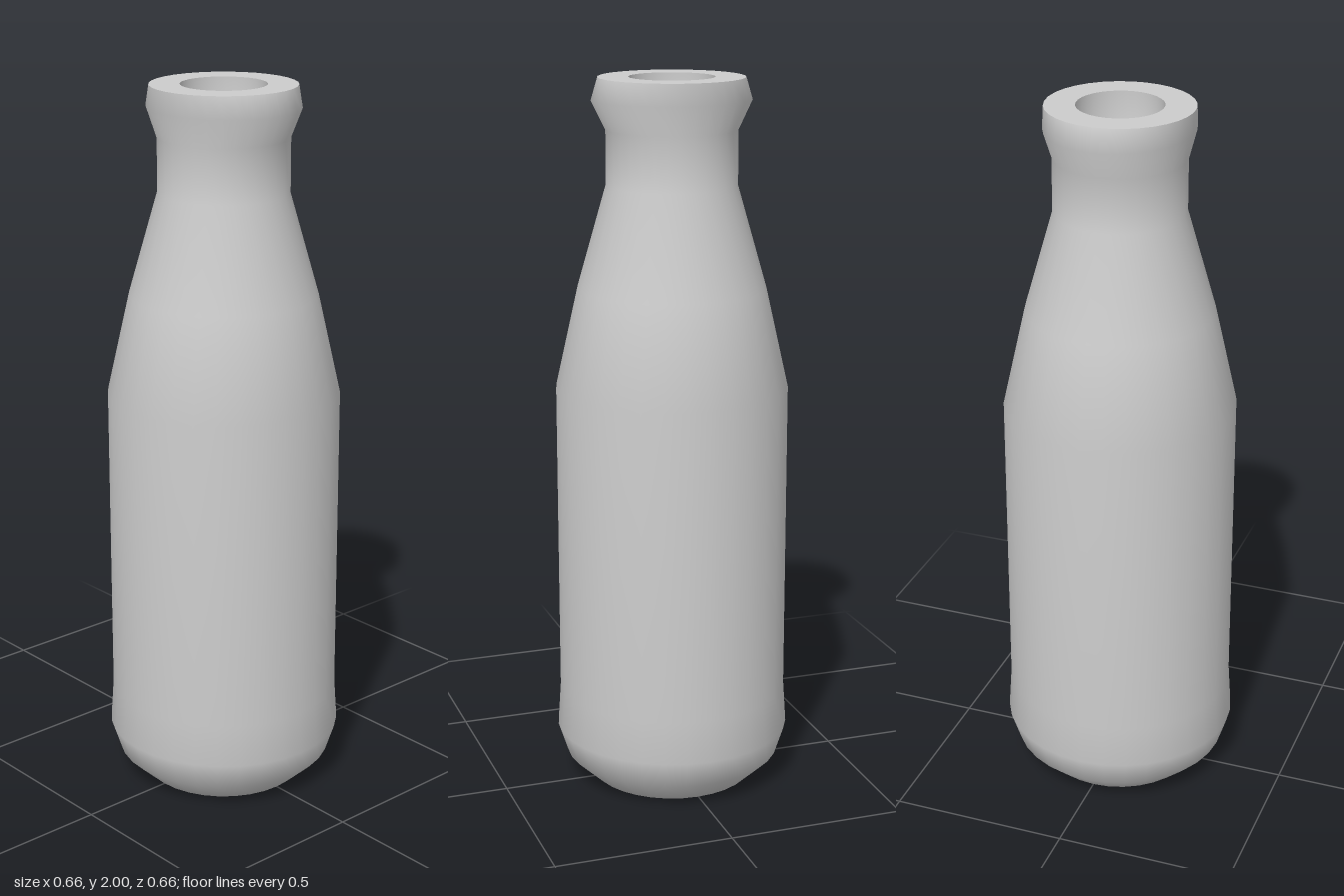
import * as THREE from 'three';
import { mergeVertices } from 'three/addons/utils/BufferGeometryUtils.js';

const SEGMENTS = 32;
const LIP_Y = 1.94;

// Revolves [radius, y] pairs and smooths the normals across the seam
function revolve(name, profile, material) {
  let geo = new THREE.LatheGeometry(profile.map(([r, y]) => new THREE.Vector2(r, y)), SEGMENTS);
  geo.deleteAttribute('uv');
  geo.deleteAttribute('normal');

  // The lip ring bulges towards front and back only
  const pos = geo.attributes.position;
  for (let i = 0; i < pos.count; i++) {
    if (Math.abs(pos.getY(i) - LIP_Y) < 1e-4) pos.setZ(i, pos.getZ(i) * 1.1);
  }
  geo = mergeVertices(geo, 1e-4);
  geo.computeVertexNormals();
  const mesh = new THREE.Mesh(geo, material);
  mesh.name = name;
  return mesh;
}

export function createModel() {
  const bottle = new THREE.Group();
  bottle.name = 'bottle';
  const material = new THREE.MeshStandardMaterial({ color: 0xcccccc });

  // Closed base, straight body, sloping shoulder, neck and lip
  bottle.add(revolve('body', [
    [0, 0], [0.23, 0], [0.305, 0.07], [0.331, 0.15], [0.323, 0.27],
    [0.323, 1.15], [0.26, 1.43], [0.18, 1.71], [0.18, 1.86],
    [0.2, LIP_Y], [0.2, 2],
  ], material));

  // Flat ring on top of the lip
  bottle.add(revolve('rim', [[0.2, 2], [0.117, 2]], material));

  // Mouth recess with its floor
  bottle.add(revolve('mouth', [[0.117, 2], [0.117, 1.8], [0, 1.8]], material));

  return bottle;
}
